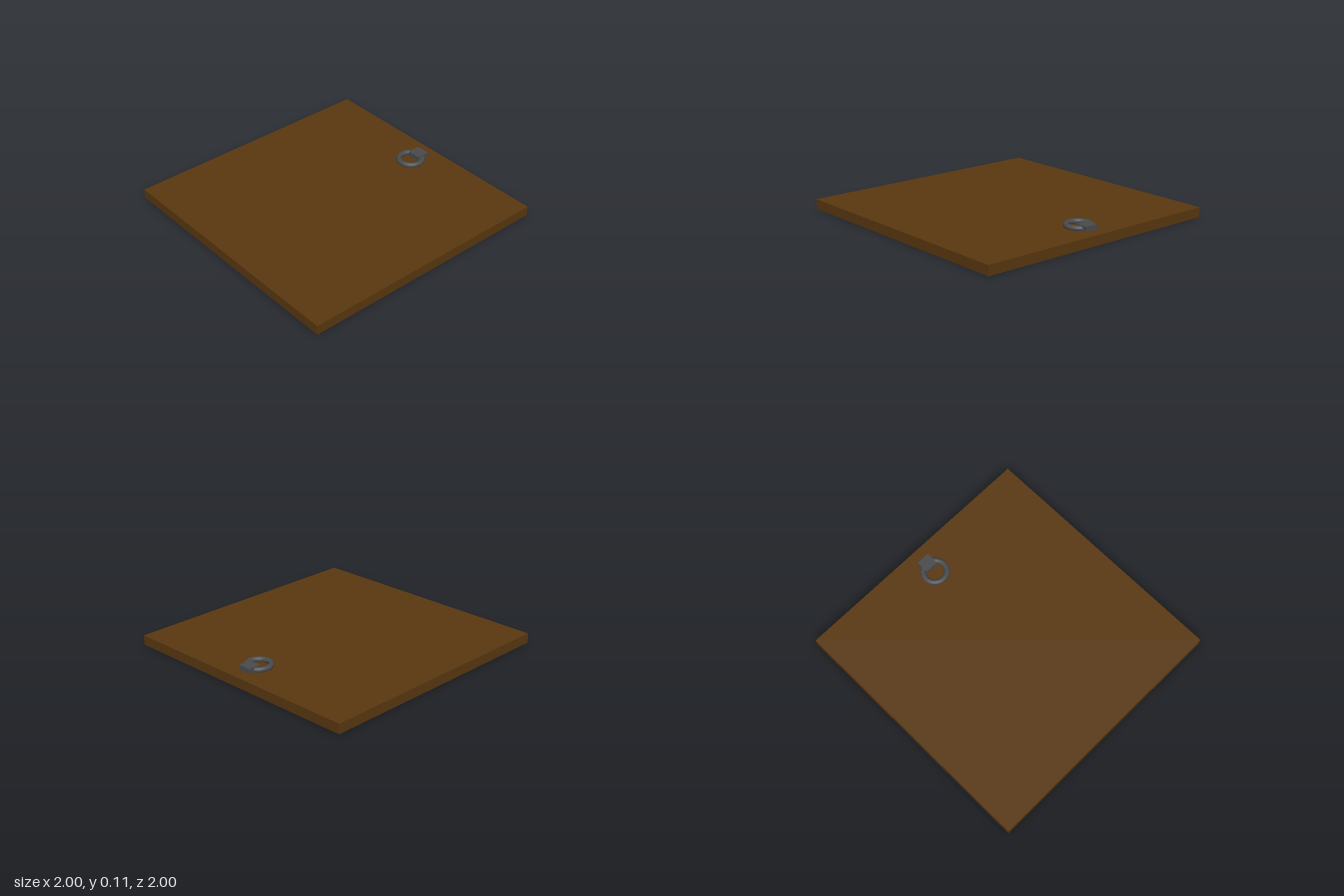
import * as THREE from 'three';

export function createModel() {
  const wood = new THREE.MeshStandardMaterial({ color: 0x5a3810 });
  wood.name = 'brown wood';
  const iron = new THREE.MeshStandardMaterial({ color: 0x4a4b4d });
  iron.name = 'dark iron';

  const model = new THREE.Group();
  model.name = 'trapdoor';
  const add = (name, geometry, material, x, y, z) => {
    const mesh = new THREE.Mesh(geometry, material);
    mesh.name = name;
    mesh.position.set(x, y, z);
    model.add(mesh);
    return mesh;
  };

  // Flat square door panel
  add('doorPanel', new THREE.BoxGeometry(2, 0.075, 2), wood, 0, 0.0375, 0);

  // Pull ring lying flat, partly sunk into the panel
  const ring = add('pullRing', new THREE.TorusGeometry(0.089, 0.021, 16, 48), iron, 0.773, 0.087, 0);
  ring.rotation.x = -Math.PI / 2;

  // Block that holds the ring near the edge
  add('ringBracket', new THREE.BoxGeometry(0.1, 0.037, 0.106), iron, 0.855, 0.0945, 0);

  return model;
}
